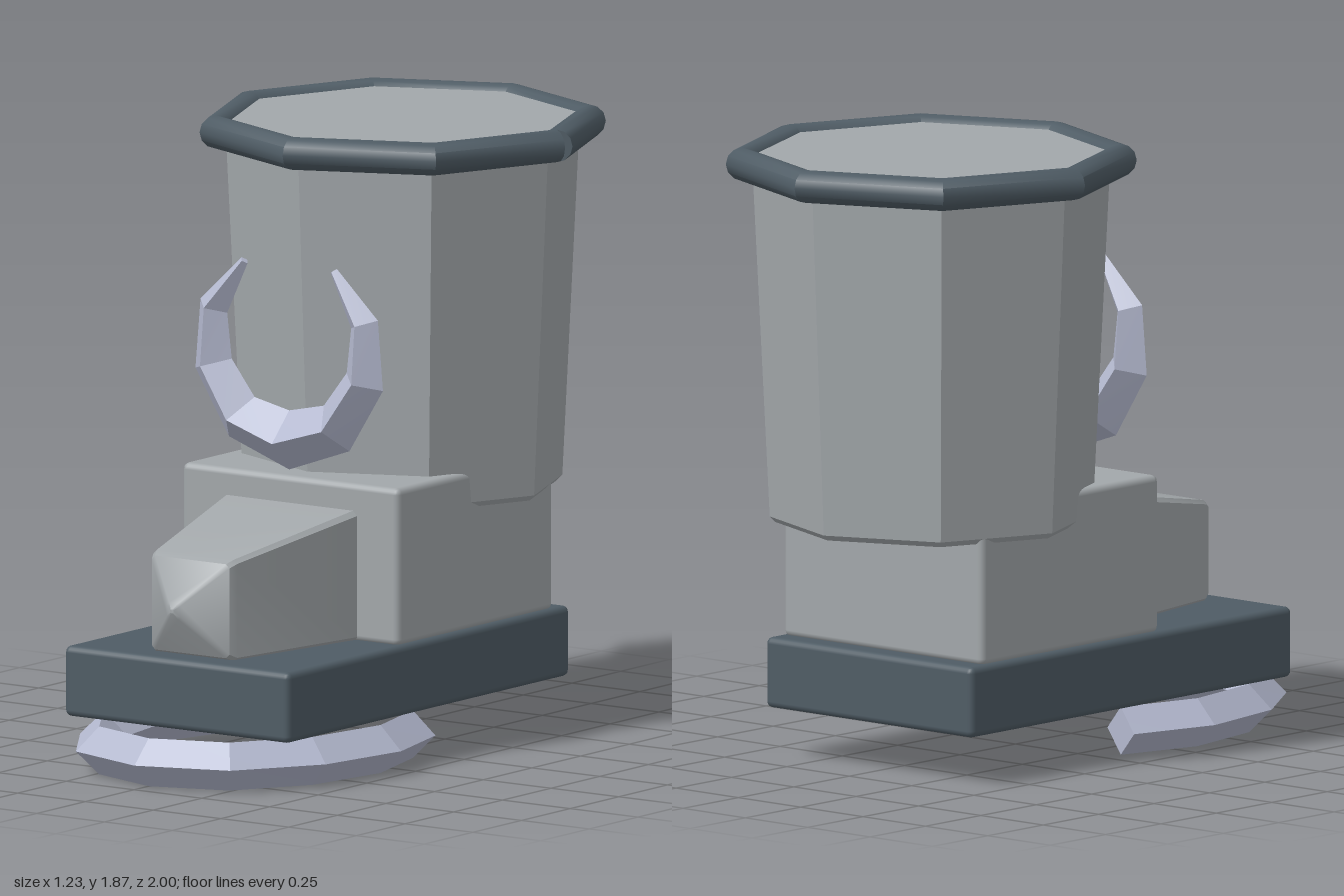
import * as THREE from 'three';
import { toCreasedNormals } from 'three/addons/utils/BufferGeometryUtils.js';
import { RoundedBoxGeometry } from 'three/addons/geometries/RoundedBoxGeometry.js';

const V = (x, y, z) => new THREE.Vector3(x, y, z);

// Skin a row of cross-sections (counter-clockwise about the travel direction), with closed ends
function loft(sections, crease) {
  const n = sections[0].length, pos = [], index = [];
  sections.forEach(s => s.forEach(p => pos.push(p.x, p.y, p.z)));
  for (let i = 0; i < sections.length - 1; i++) {
    for (let j = 0; j < n; j++) {
      const a = i * n + j, b = i * n + (j + 1) % n;
      index.push(a, b, b + n, a, b + n, a + n);
    }
  }
  const last = (sections.length - 1) * n;
  for (let j = 1; j < n - 1; j++) {
    index.push(0, j + 1, j, last, last + j, last + j + 1);
  }
  const g = new THREE.BufferGeometry();
  g.setAttribute('position', new THREE.Float32BufferAttribute(pos, 3));
  g.setIndex(index);
  return toCreasedNormals(g, crease);
}

// Sweep a regular section along a flat path with plane normal up
function sweep(path, up, sides, radius, crease) {
  return loft(path.map((p, i) => {
    const before = path[Math.max(i - 1, 0)], after = path[Math.min(i + 1, path.length - 1)];
    const t = V(0, 0, 0);
    if (i > 0) t.add(p.clone().sub(before).normalize());
    if (i < path.length - 1) t.add(after.clone().sub(p).normalize());
    const u = up.clone().cross(t.normalize());
    return Array.from({ length: sides }, (_, j) => {
      const a = j / sides * Math.PI * 2, r = radius(i);
      return p.clone().addScaledVector(u, Math.cos(a) * r).addScaledVector(up, Math.sin(a) * r);
    });
  }), crease);
}

// Complete a half path, given from the centre outwards, by mirroring in x
const mirrored = half => [
  ...half.slice(1).reverse().map(p => V(-p.x, p.y, p.z)), ...half];

export function createModel() {
  const group = new THREE.Group();
  const material = (name, color) => {
    const m = new THREE.MeshStandardMaterial({ color });
    m.name = name;
    return m;
  };
  const grey = material('light grey', 0xa2a7aa);
  const dark = material('dark slate', 0x4f5c65);
  const steel = material('pale steel', 0xb4b9cf);
  const add = (name, geometry, mat, x = 0, y = 0, z = 0) => {
    const mesh = new THREE.Mesh(geometry, mat);
    mesh.name = name;
    mesh.position.set(x, y, z);
    group.add(mesh);
  };

  // Sole and foot blocks
  add('sole', new RoundedBoxGeometry(0.83, 0.215, 1.45, 2, 0.02), dark, 0, 0.2575, 0.06);
  add('foot', new RoundedBoxGeometry(0.8, 0.48, 0.8, 2, 0.02), grey, 0, 0.6, -0.2);

  // Tapered toe with a pyramid nose
  const chamferedRect = (w, y0, y1, z, c) => [
    V(w, y0 + c, z), V(w, y1 - c, z), V(w - c, y1, z), V(c - w, y1, z),
    V(-w, y1 - c, z), V(-w, y0 + c, z), V(c - w, y0, z), V(w - c, y0, z)];
  add('toe', loft([
    chamferedRect(0.25, 0.36, 0.76, 0.19, 0.015),
    chamferedRect(0.155, 0.36, 0.67, 0.685, 0.012),
    chamferedRect(0.143, 0.372, 0.658, 0.71, 0.012),
    chamferedRect(0.025, 0.49, 0.54, 0.796, 0.008),
    chamferedRect(0.006, 0.509, 0.521, 0.806, 0.002),
  ], 0.45), grey);

  // Eight-sided shaft, wider at the top
  const profile = [[0, 0.73], [0.468, 0.73], [0.485, 0.747], [0.539, 1.85], [0, 1.85]]
    .map(p => new THREE.Vector2(...p));
  add('shaft', toCreasedNormals(new THREE.LatheGeometry(profile, 8), 0.3), grey, 0, 0, -0.38);

  // Rim with its open seam on the left side
  const rimPath = Array.from({ length: 9 }, (_, i) => {
    const a = i / 8 * Math.PI * 2;
    return V(Math.cos(a) * 0.567, 0, Math.sin(a) * 0.567);
  });
  add('rim', sweep(rimPath, V(0, 1, 0), 12, () => 0.05, 0.7), dark, 0, 1.82, -0.38);

  // Upright horseshoe, thinning to its tips
  const thickness = [0.09, 0.08, 0.07, 0.052, 0.014];
  const shoe = mirrored([
    V(0, 0.95, 0), V(0.175, 1.003, 0), V(0.279, 1.155, 0), V(0.278, 1.33, 0), V(0.165, 1.48, 0)]);
  add('frontHorseshoe',
    sweep(shoe, V(0, 0, 1), 4, i => thickness[Math.abs(i - 4)], 0.1), steel, 0, 0, 0.203);

  // Flat horseshoe under the sole
  const ground = mirrored([
    V(0, 0, 0.925), V(0.24, 0, 0.845), V(0.385, 0, 0.62), V(0.432, 0, 0.335), V(0.36, 0, 0.07)]);
  add('soleHorseshoe', sweep(ground, V(0, 1, 0), 4, () => 0.073, 0.1), steel, 0, 0.073, 0);

  return group;
}
